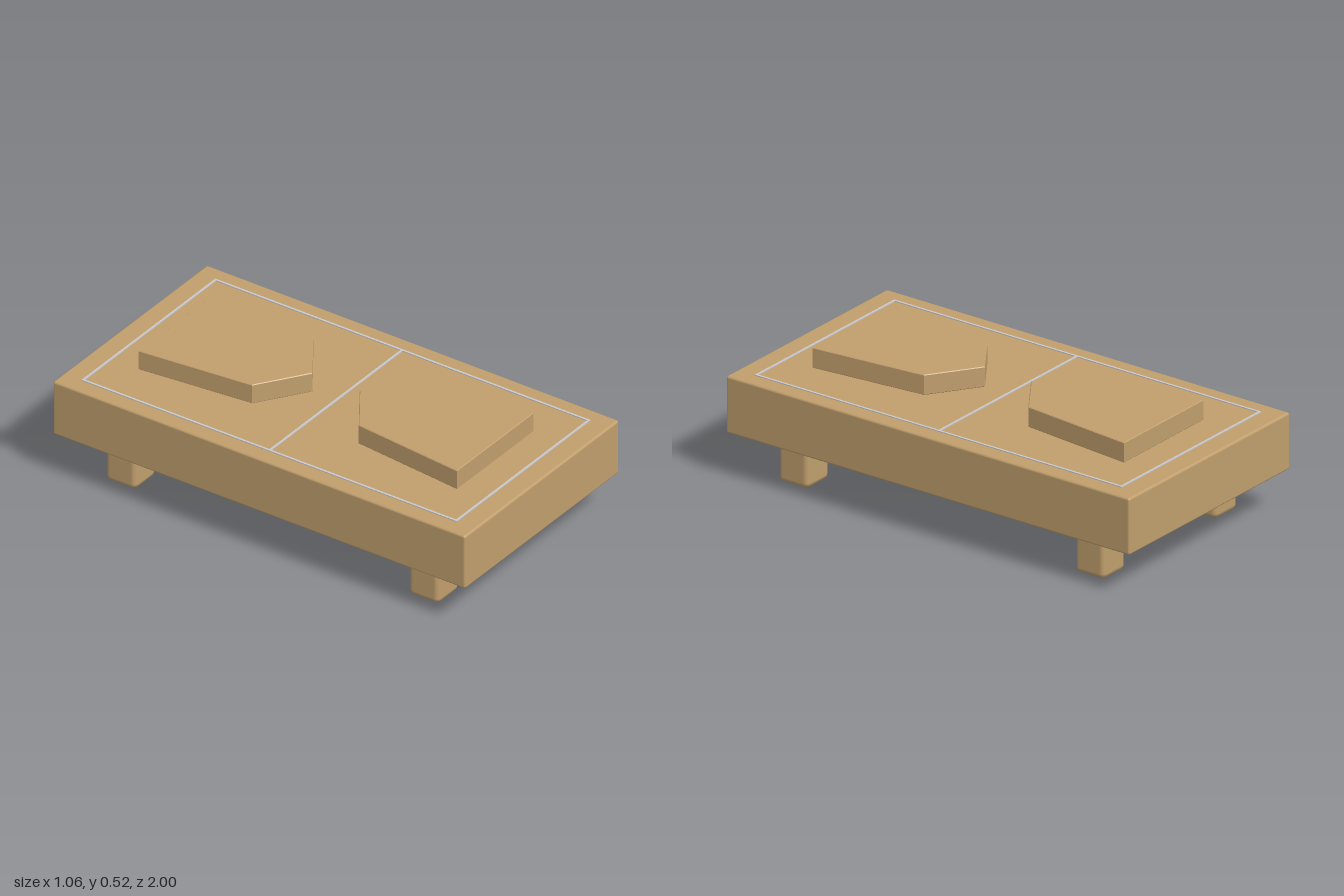
import * as THREE from 'three';
import { RoundedBoxGeometry } from 'three/addons/geometries/RoundedBoxGeometry.js';

export function createModel() {
  const group = new THREE.Group();
  const wood = new THREE.MeshStandardMaterial({ color: 0xc19f6d });
  wood.name = 'wood';
  const line = new THREE.MeshStandardMaterial({ color: 0xc8c8cc });
  line.name = 'pale line';

  const add = (name, geometry, material, x, y, z) => {
    const mesh = new THREE.Mesh(geometry, material);
    mesh.name = name;
    mesh.position.set(x, y, z);
    group.add(mesh);
    return mesh;
  };

  // Thick board with softened edges
  const bottom = 0.19, top = 0.437;
  add('board', new RoundedBoxGeometry(1.06, top - bottom, 2, 2, 0.01), wood, 0, (top + bottom) / 2, 0);

  // Four stubby rounded legs, their tops meeting the underside
  const legGeometry = new RoundedBoxGeometry(0.147, 0.195, 0.147, 2, 0.024);
  for (const x of [-1, 1]) {
    for (const z of [-1, 1]) {
      add(`${z > 0 ? 'front' : 'back'}${x > 0 ? 'Left' : 'Right'}Leg`, legGeometry, wood, x * 0.369, 0.0975, z * 0.735);
    }
  }

  // Thin inlaid border and centre line
  const t = 0.01, h = 0.006, lineY = top + 0.001;
  const crossLine = new THREE.BoxGeometry(0.92, h, t);
  const sideLine = new THREE.BoxGeometry(t, h, 1.81);
  for (const z of [-0.905, 0, 0.905]) add(z === 0 ? 'centreLine' : 'endLine', crossLine, line, 0, lineY, z);
  for (const x of [-0.455, 0.455]) add('sideLine', sideLine, line, x, lineY, 0);

  // Two five-sided wedge pieces pointing at each other
  const b = 0.003;
  const outline = new THREE.Shape([
    [-0.262 + b, -0.772 + b], [0.262 - b, -0.772 + b],
    [0.21 - b, -0.26], [0, -0.115 - b], [-0.21 + b, -0.26],
  ].map(([x, y]) => new THREE.Vector2(x, y)));
  const pieceGeometry = new THREE.ExtrudeGeometry(outline, {
    depth: 0.088 - 2 * b, bevelEnabled: true, bevelSize: b, bevelThickness: b, bevelSegments: 1,
  });
  pieceGeometry.rotateX(-Math.PI / 2);
  add('frontPiece', pieceGeometry, wood, 0, top + b, 0);
  add('backPiece', pieceGeometry, wood, 0, top + b, 0).rotation.y = Math.PI;

  return group;
}
